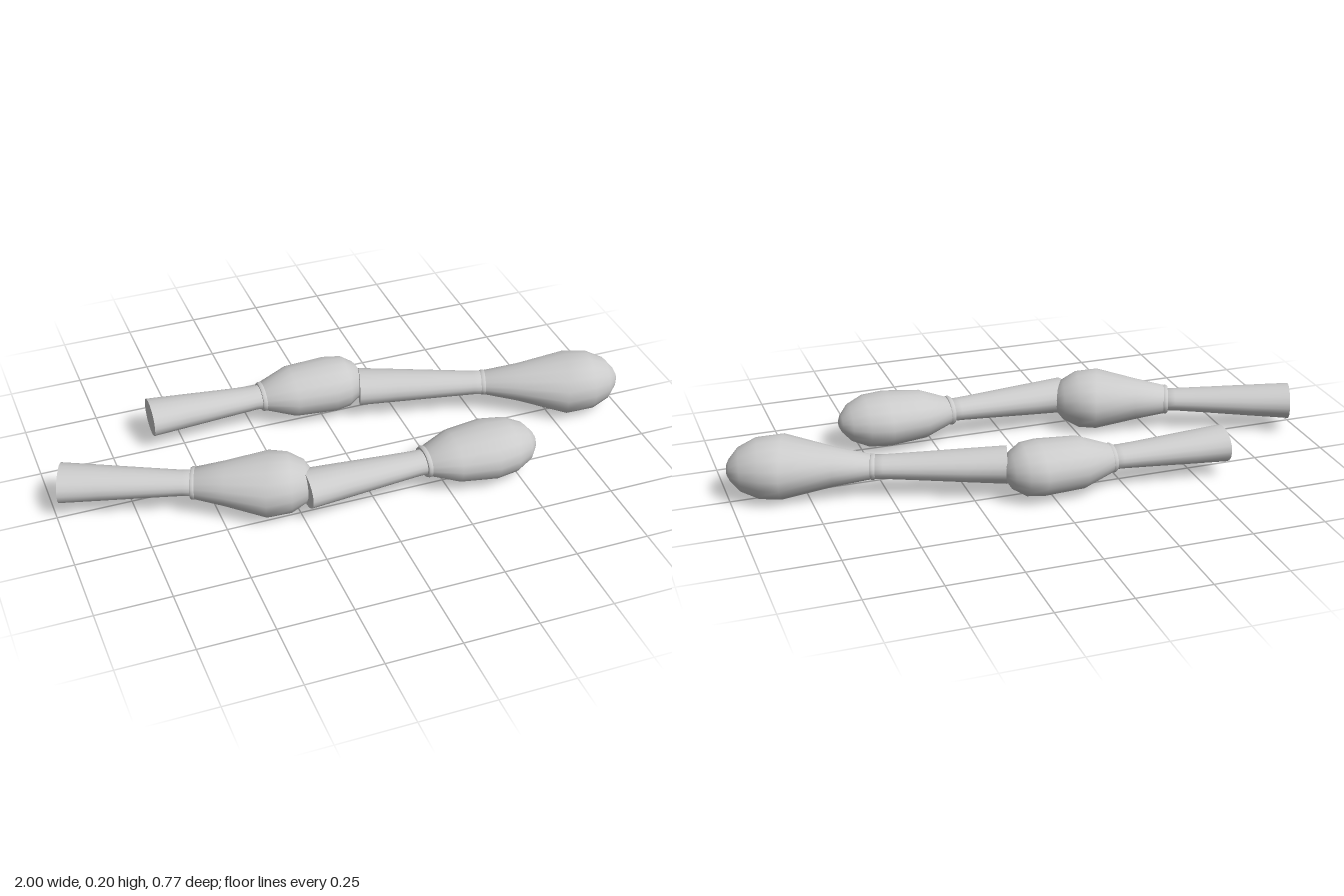
import * as THREE from 'three';

const MID = 0.108; // height of the axis above the ground
const SIDES = 18;
const material = new THREE.MeshStandardMaterial({ color: 0xcccccc, side: THREE.DoubleSide });
const v = (x, z) => new THREE.Vector2(x, z);

// Elliptical section across the line a-b: t along the line, half width w, half height h
function section(a, b, t, w, h) {
  const side = b.clone().sub(a).normalize();
  side.set(-side.y, side.x);
  return { centre: a.clone().lerp(b, t), side, w, h };
}

// Joins sections into a closed smooth skin; a flat start keeps a sharp rim
function loft(name, sections, flatStart) {
  const first = sections[0], last = sections[sections.length - 1];
  const rings = [{ ...first, w: 0, h: 0 }, ...(flatStart ? [first] : []), ...sections, { ...last, w: 0, h: 0 }];
  const positions = [], index = [];
  rings.forEach(({ centre, side, w, h }, i) => {
    for (let j = 0; j < SIDES; j++) {
      const t = (j / SIDES) * Math.PI * 2, c = w * Math.cos(t);
      positions.push(centre.x + side.x * c, MID + h * Math.sin(t), centre.y + side.y * c);
      if (i === rings.length - 1) continue;
      const a = i * SIDES + j, b = i * SIDES + ((j + 1) % SIDES);
      index.push(a, a + SIDES, b + SIDES, a, b + SIDES, b);
    }
  });
  const geometry = new THREE.BufferGeometry();
  geometry.setAttribute('position', new THREE.Float32BufferAttribute(positions, 3));
  geometry.setIndex(index);
  geometry.computeVertexNormals();
  const mesh = new THREE.Mesh(geometry, material);
  mesh.name = name;
  return mesh;
}

// Flared stem running from its wide end to the neck
function stem(start, neck) {
  const profile = [[0, 0.078], [0.3, 0.069], [0.65, 0.058], [0.92, 0.05], [1.03, 0.05]];
  return loft('stem', profile.map(([t, w]) => section(start, neck, t, w, w * 0.75)), true);
}

// Narrow raised band around the neck
function collar(start, neck, radius) {
  const length = start.distanceTo(neck);
  const profile = [[-0.009, 0.94], [-0.004, 1], [0.004, 1], [0.009, 0.94]];
  return loft('collar', profile.map(([d, k]) =>
    section(start, neck, 1 + d / length, radius * k, radius * k * 0.76)), true);
}

// Bulb swelling from neck to peak (t 0 to 1), then rounding off to the tip (t 1 to 2)
function bulb({ neck, peak, tip, neckWidth, shoulder, width, flatness }) {
  const profile = [
    [0, neckWidth, 0.96], [0.43, shoulder, 1.02], [1, width, 1], [1.45, width * 0.87, 1.1],
    [1.78, width * 0.62, 1.1], [1.95, width * 0.3, 1.1], [2, width * 0.13, 1.1],
  ];
  return loft('bulb', profile.map(([t, w, k]) => t <= 1
    ? section(neck, peak, t, w, w * k * flatness)
    : section(peak, tip, t - 1, w, w * k * flatness)), false);
}

const CLUBS = [
  {
    name: 'rearRightClub', start: v(-0.602, -0.3), neck: v(-0.205, -0.286), peak: v(0.04, -0.278),
    tip: v(0.16, -0.272), neckWidth: 0.058, shoulder: 0.102, width: 0.112, flatness: 0.8,
  },
  {
    name: 'rearLeftClub', start: v(0.132, -0.225), neck: v(0.548, -0.099), peak: v(0.82, -0.002),
    tip: v(1, 0.03), neckWidth: 0.05, shoulder: 0.077, width: 0.129, flatness: 0.79,
  },
  {
    name: 'frontRightClub', start: v(-0.97, -0.05), neck: v(-0.565, 0.102), peak: v(-0.34, 0.189),
    tip: v(-0.19, 0.225), neckWidth: 0.06, shoulder: 0.084, width: 0.125, flatness: 0.81,
  },
  {
    name: 'frontLeftClub', start: v(-0.235, 0.258), neck: v(0.182, 0.257), peak: v(0.405, 0.263),
    tip: v(0.572, 0.267), neckWidth: 0.06, shoulder: 0.104, width: 0.122, flatness: 0.74,
  },
];

export function createModel() {
  const model = new THREE.Group();
  model.name = 'clubPairs';
  for (const spec of CLUBS) {
    const club = new THREE.Group();
    club.name = spec.name;
    club.add(stem(spec.start, spec.neck), collar(spec.start, spec.neck, spec.neckWidth + 0.003), bulb(spec));
    model.add(club);
  }
  return model;
}
